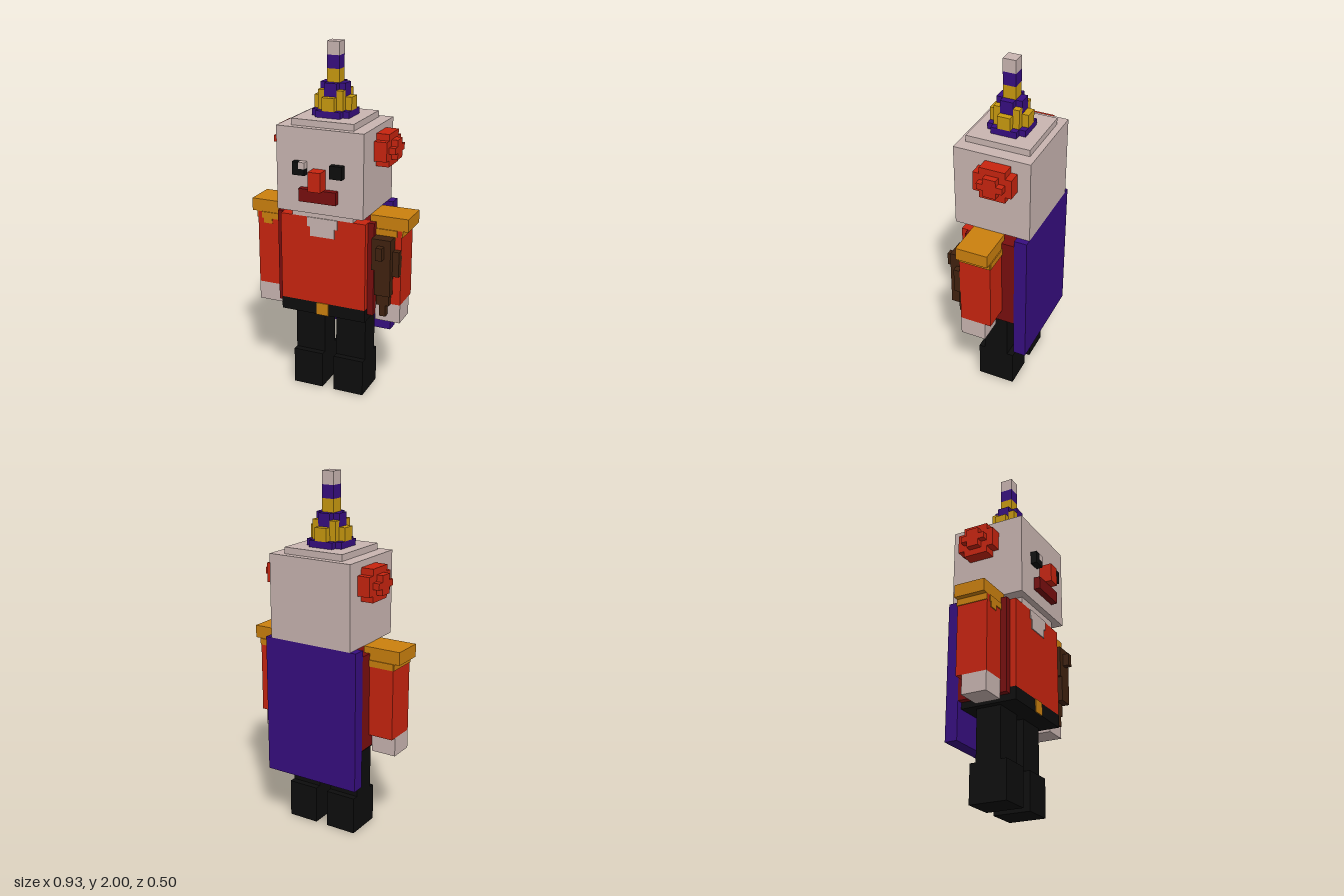
import * as THREE from 'three';

const U = 1 / 28; // size of one block
const P = 0.15; // plate thickness in blocks

const mat = (name, color) => {
  const m = new THREE.MeshStandardMaterial({ color });
  m.name = name;
  return m;
};

export function createModel() {
  const pale = mat('pale skin', 0xc9b5b1);
  const red = mat('bright red', 0xc8240f);
  const maroon = mat('dark red', 0x780e0e);
  const ochre = mat('shoulder gold', 0xcb800e);
  const yellow = mat('hat gold', 0xc99a0f);
  const purple = mat('purple', 0x370e80);
  const black = mat('black', 0x0d0d0d);
  const brown = mat('brown', 0x40220f);

  const model = new THREE.Group();
  model.name = 'figure';
  const group = (name) => {
    const g = new THREE.Group();
    g.name = name;
    model.add(g);
    return g;
  };
  // Box between two corners, given in blocks
  const box = (parent, name, material, x0, x1, y0, y1, z0, z1) => {
    const mesh = new THREE.Mesh(
      new THREE.BoxGeometry((x1 - x0) * U, (y1 - y0) * U, (z1 - z0) * U), material);
    mesh.position.set((x0 + x1) / 2 * U, (y0 + y1) / 2 * U, (z0 + z1) / 2 * U);
    mesh.name = name;
    parent.add(mesh);
  };
  // Same box on the side s (+1 or -1)
  const sideBox = (s, parent, name, material, x0, x1, ...rest) =>
    box(parent, name, material, Math.min(s * x0, s * x1), Math.max(s * x0, s * x1), ...rest);

  // Torso and clothes
  const torso = group('torso');
  box(torso, 'shirt', red, -7, 7, 16, 30, -4, 4);
  box(torso, 'jacket', maroon, -8, 8, 15, 30, -5, 3);
  box(torso, 'hips', black, -7, 7, 14, 16, -5, 4);
  box(torso, 'buckle', ochre, -1, 1, 14, 16, 4, 4 + P);
  box(torso, 'neck', pale, -5, 5, 30, 31, -5, 4);
  box(torso, 'collarOpening', pale, -2, 2, 27, 30, 4, 4 + P);
  for (const s of [-1, 1]) sideBox(s, torso, 'collarStep', pale, 2, 2.5, 28.5, 30, 4, 4 + P);
  box(torso, 'cape', purple, -8, 8, 9, 31, -7, -5);

  // Head and face
  const head = group('head');
  box(head, 'skull', pale, -7, 7, 31, 44, -7, 5);
  box(head, 'crown', pale, -5, 5, 44, 45, -6, 4);
  box(head, 'leftEye', black, 2, 4, 37, 39, 5, 6);
  box(head, 'rightEyeOuter', black, -4, -3, 37, 39, 5, 6);
  box(head, 'rightEyeInner', black, -3, -2, 37, 38, 5, 6);
  box(head, 'rightEyeGlint', pale, -3, -2, 38, 39, 5, 6);
  box(head, 'nose', red, -1, 1, 35, 38, 5, 7);
  box(head, 'mouth', maroon, -3, 3, 33, 35, 5, 6);

  for (const s of [-1, 1]) {
    // Hair puff: stepped layers growing out from the head
    const puff = group(s > 0 ? 'leftHairPuff' : 'rightHairPuff');
    sideBox(s, puff, 'puffWide', red, 7, 9, 39, 42, -5, 1);
    sideBox(s, puff, 'puffTall', red, 7, 9, 38, 43, -4, 0);
    sideBox(s, puff, 'puffOuterWide', red, 9, 10, 40, 41, -4, 0);
    sideBox(s, puff, 'puffOuterTall', red, 9, 10, 39, 42, -3, -1);

    // Arm with shoulder pad and hanging trim
    const arm = group(s > 0 ? 'leftArm' : 'rightArm');
    sideBox(s, arm, 'sleeve', red, 8, 12, 17, 29, -3, 2);
    sideBox(s, arm, 'hand', pale, 8, 12, 14, 17, -2, 2);
    sideBox(s, arm, 'shoulderPad', ochre, 7, 13, 29, 31, -3, 2);
    sideBox(s, arm, 'sideTrim', ochre, 12, 12 + P, 28, 29, -3, 2);
    sideBox(s, arm, 'backTrim', ochre, 8, 12, 28, 29, -3 - P, -3);
    sideBox(s, arm, 'frontTrim', ochre, 8, 11.3, 28, 29, 2, 2 + P);
    sideBox(s, arm, 'frontTrimTip', ochre, 9.5, 11, 27.2, 28, 2, 2 + P);

    // Leg and boot
    const leg = group(s > 0 ? 'leftLeg' : 'rightLeg');
    sideBox(s, leg, 'trouser', black, 1, 6, 6, 14, -3, 1);
    sideBox(s, leg, 'boot', black, 1, 6, 0, 6, -4, 2);
  }

  // Carved ornament on the left arm
  const ornament = group('armOrnament');
  box(ornament, 'ornamentBody', brown, 8, 11, 23, 28, 2, 4);
  box(ornament, 'ornamentLower', brown, 8.5, 11, 19, 23, 2.7, 4);
  box(ornament, 'ornamentKnob', brown, 9, 10, 25, 27, 4, 5);
  box(ornament, 'ornamentSide', brown, 11, 12, 22, 26, 1.3, 3);
  box(ornament, 'ornamentTail', brown, 8.5, 10.5, 17, 19, 2, 3);
  box(ornament, 'ornamentTip', brown, 9, 10, 15.2, 17, 2, 3);

  // Hat: purple tiers with a gold ring and striped spire, centred at z = -1
  const hat = group('hat');
  hat.position.z = -U;
  box(hat, 'brimWide', purple, -3, 3, 45, 46, -2, 2);
  box(hat, 'brimDeep', purple, -2, 2, 45, 46, -3, 3);
  box(hat, 'tierWide', purple, -2, 2, 46, 50, -1, 1);
  box(hat, 'tierDeep', purple, -1, 1, 46, 50, -2, 2);
  for (const s of [-1, 1]) {
    sideBox(s, hat, 'ringSide', yellow, 2, 3, 46, 48, -1, 1);
    box(hat, 'ringEnd', yellow, -1, 1, 46, 48, s > 0 ? 2 : -3, s > 0 ? 3 : -2);
    for (const z of [-2, 1]) sideBox(s, hat, 'ringCorner', yellow, 1, 2, 46, 49, z, z + 1);
  }
  [yellow, purple, pale].forEach((m, i) =>
    box(hat, 'spire', m, -1, 1, 50 + 2 * i, 52 + 2 * i, -1, 1));

  return model;
}
